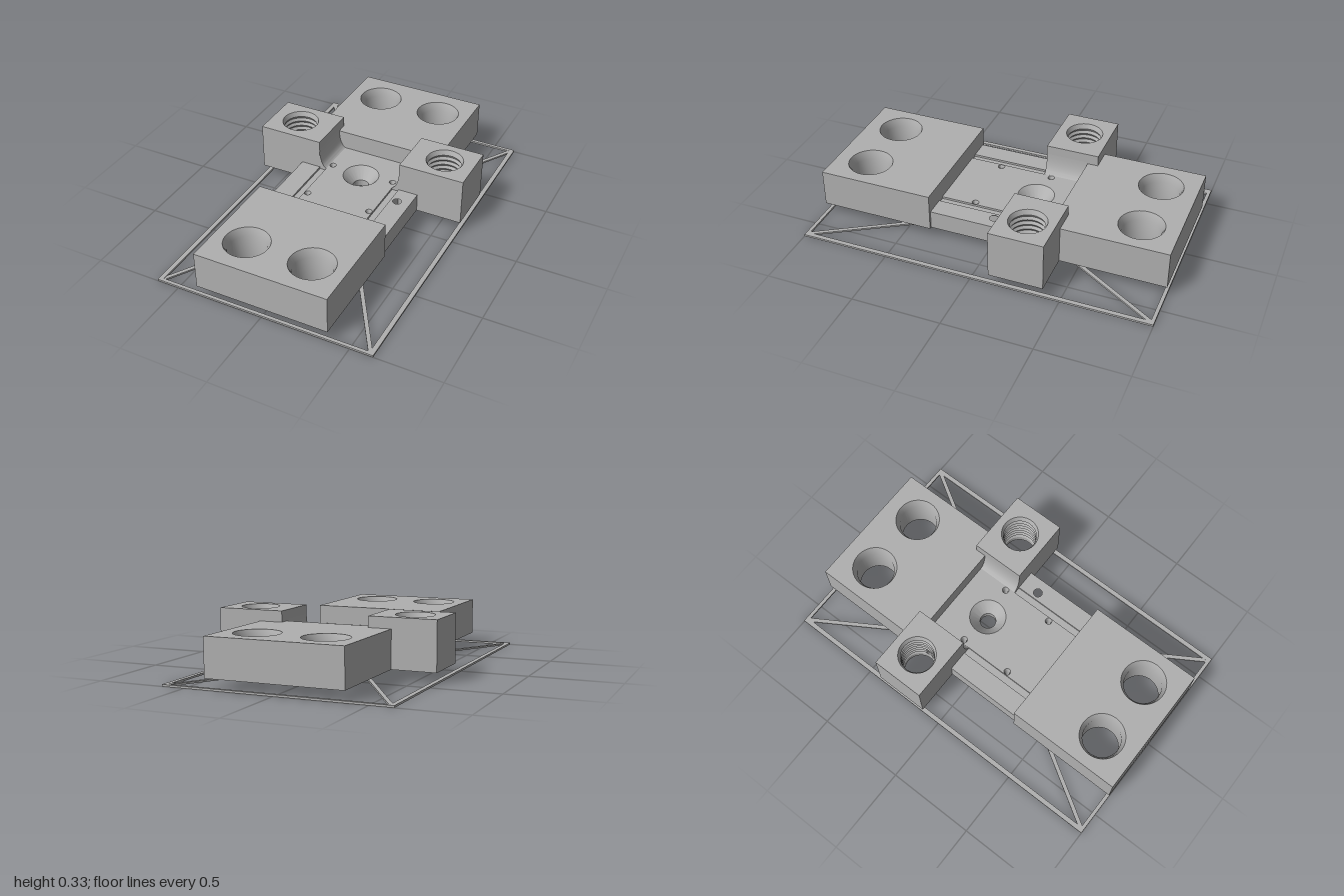
import * as THREE from 'three';
import { toCreasedNormals, mergeGeometries } from 'three/addons/utils/BufferGeometryUtils.js';

const BOTTOM = 0.06; // underside of the body

export function createModel() {
  const model = new THREE.Group();
  const grey = new THREE.MeshStandardMaterial({ color: 0xb0b0b0 });
  grey.name = 'machinedGrey';

  const add = (name, geometry, x = 0, y = 0, z = 0) => {
    const mesh = new THREE.Mesh(geometry, grey);
    mesh.name = name;
    mesh.position.set(x, y, z);
    model.add(mesh);
    return mesh;
  };
  const box = (name, x0, x1, y0, y1, z0, z1) => add(name,
    new THREE.BoxGeometry(x1 - x0, y1 - y0, z1 - z0),
    (x0 + x1) / 2, (y0 + y1) / 2, (z0 + z1) / 2);

  // Block with vertical bores; each bore has a lathe profile running from the top to the bottom
  const boredBlock = (name, x0, x1, z0, z1, top, bores) => {
    const shape = new THREE.Shape([[x0, -z0], [x1, -z0], [x1, -z1], [x0, -z1]]
      .map(([x, y]) => new THREE.Vector2(x, y)));
    const parts = [];
    for (const { x, z, r, profile } of bores) {
      shape.holes.push(new THREE.Path().absarc(x, -z, r, 0, Math.PI * 2, true));
      if (!profile) continue;
      const points = [[r, top], ...profile, [r, BOTTOM]].map(([px, py]) => new THREE.Vector2(px, py));
      const sleeve = new THREE.LatheGeometry(points, 48).toNonIndexed();
      parts.push(toCreasedNormals(sleeve, 0.5).translate(x, 0, z));
    }
    const body = new THREE.ExtrudeGeometry(shape, { depth: top - BOTTOM, bevelEnabled: false, curveSegments: 24 });
    body.rotateX(-Math.PI / 2).translate(0, BOTTOM, 0);
    parts.unshift(toCreasedNormals(body, 0.5));
    return add(name, mergeGeometries(parts));
  };

  // Large end blocks, each with two chamfered through bores
  for (const s of [1, -1]) {
    const bores = [-0.19, 0.19].map(x => ({
      x, z: s * 0.795, r: 0.125, profile: [[0.105, 0.225], [0.105, BOTTOM]],
    }));
    const [z0, z1] = s > 0 ? [0.345, 1] : [-1, -0.35];
    boredBlock(s > 0 ? 'frontBlock' : 'backBlock', -0.38, 0.38, z0, z1, 0.272, bores);
  }

  // Centre plate with a countersunk hole and four screw holes
  const plateBores = [{ x: 0, z: -0.135, r: 0.103, profile: [[0.045, 0.1], [0.045, BOTTOM]] }];
  for (const x of [-0.19, 0.19]) for (const z of [-0.155, 0.152])
    plateBores.push({ x, z, r: 0.019, profile: [[0.012, 0.145], [0.012, BOTTOM]] });
  boredBlock('centrePlate', -0.21, 0.21, -0.35, 0.345, 0.165, plateBores);

  // Thread profile for the side bores
  const thread = [[0.093, 0.305]];
  for (let y = 0.29; y > BOTTOM + 0.03; y -= 0.03) thread.push([0.101, y], [0.091, y - 0.015]);
  thread.push([0.091, BOTTOM]);

  for (const s of [1, -1]) {
    const side = s > 0 ? 'left' : 'right';
    const span = (a, b) => (s > 0 ? [a, b] : [-b, -a]);

    // Shallow groove and outer shelf
    box(side + 'Groove', ...span(0.21, 0.25), BOTTOM, 0.153, -0.35, 0.345);
    boredBlock(side + 'Shelf', ...span(0.25, 0.365), -0.35, 0.345, 0.165,
      s > 0 ? [{ x: 0.29, z: 0, r: 0.025 }] : []);

    // Raised side block with a threaded bore
    boredBlock(side + 'SideBlock', ...span(0.25, 0.628), -0.41, -0.105, 0.333,
      [{ x: s * 0.457, z: -0.26, r: 0.105, profile: thread }]);

    // Concave flare at the foot of the side block
    const flare = new THREE.Shape();
    flare.moveTo(s * 0.26, 0.15);
    flare.lineTo(s * 0.26, 0.28);
    flare.lineTo(s * 0.25, 0.28);
    flare.quadraticCurveTo(s * 0.247, 0.185, s * 0.21, 0.165);
    flare.lineTo(s * 0.21, 0.15);
    const flareGeometry = new THREE.ExtrudeGeometry(flare, { depth: 0.244, bevelEnabled: false, curveSegments: 12 });
    add(side + 'Flare', toCreasedNormals(flareGeometry, 0.5), 0, 0, -0.35);
  }

  // Thin rectangular base frame
  for (const s of [1, -1]) {
    box('frameSideBar', s * 0.615 - 0.013, s * 0.615 + 0.013, 0, 0.011, -1, 1);
    box('frameEndBar', -0.602, 0.602, 0, 0.011, s * 0.99 - 0.01, s * 0.99 + 0.01);
    const length = 2 * Math.hypot(0.605, 0.98);
    const brace = add('diagonalBrace', new THREE.BoxGeometry(0.022, 0.01, length), 0, 0.0055, 0);
    brace.rotation.y = s * Math.atan2(0.605, 0.98);
  }

  // Hub and two locating pins joining the frame and body
  add('centreHub', new THREE.CylinderGeometry(0.07, 0.07, 0.06, 40), 0, 0.03, 0);
  const pin = toCreasedNormals(new THREE.LatheGeometry(
    [[0, 0.011], [0.017, 0.011], [0.022, 0.017], [0.022, 0.065]].map(p => new THREE.Vector2(...p)), 24), 0.5);
  add('locatingPin', pin, 0.293, 0, -0.307);
  add('locatingPin', pin, -0.293, 0, 0.35);

  return model;
}
